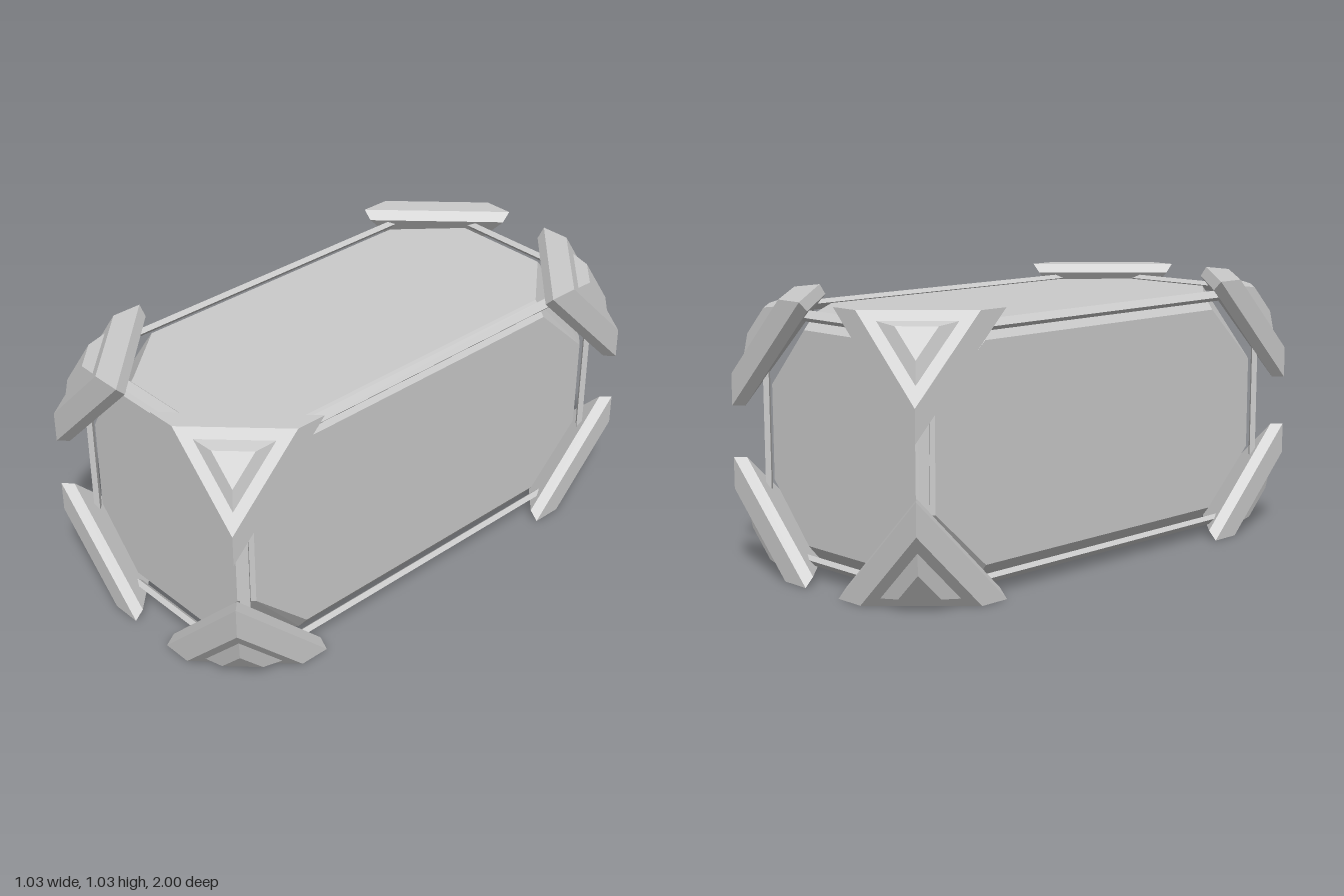
import * as THREE from 'three';
import { ConvexGeometry } from 'three/addons/geometries/ConvexGeometry.js';

const OUTER = [0.515, 0.5175, 1];      // half size at the corner guards
const FRAME = [0.46, 0.4725, 0.915];   // half size at the edge rails
const MID_Y = 0.5175;
const SIGNS = [-1, 1];

export function createModel() {
  const model = new THREE.Group();
  const material = new THREE.MeshStandardMaterial({ color: 0xcccccc, flatShading: true });

  function addHull(name, points, parent) {
    const mesh = new THREE.Mesh(
      new ConvexGeometry(points.map((p) => new THREE.Vector3(...p))), material);
    mesh.name = name;
    parent.add(mesh);
  }

  const body = new THREE.Group();
  body.position.y = MID_Y;
  model.add(body);

  // Core: six eight-sided panels joined by chamfered edges and cut corners
  const plane = FRAME.map((v) => v - 0.015);
  const edge = [0.4, 0.4, 0.85];
  const cut = [0.2, 0.18, 0.615];
  const corePoints = [];
  for (let a = 0; a < 3; a++) {
    const b = (a + 1) % 3, c = (a + 2) % 3;
    for (const sa of SIGNS) for (const sb of SIGNS) for (const sc of SIGNS) {
      for (const [vb, vc] of [[edge[b], cut[c]], [cut[b], edge[c]]]) {
        const p = [0, 0, 0];
        p[a] = sa * plane[a];
        p[b] = sb * vb;
        p[c] = sc * vc;
        corePoints.push(p);
      }
    }
  }
  addHull('core', corePoints, body);

  // Edge rails: slim bars turned 45 degrees, floating off the chamfers
  const railSection = [[0, 0.025], [0.025, 0], [0.04, 0.015], [0.015, 0.04]];
  const rails = new THREE.Group();
  rails.name = 'edgeRails';
  body.add(rails);
  for (let a = 0; a < 3; a++) {
    const b = (a + 1) % 3, c = (a + 2) % 3;
    const half = OUTER[a] - 0.28;
    for (const sb of SIGNS) for (const sc of SIGNS) {
      const points = [];
      for (const end of SIGNS) for (const [i, j] of railSection) {
        const p = [0, 0, 0];
        p[a] = end * half;
        p[b] = sb * (FRAME[b] - i);
        p[c] = sc * (FRAME[c] - j);
        points.push(p);
      }
      addHull('edgeRail', points, rails);
    }
  }

  // Triangle across a corner: one long inset and two short ones per point
  const triangle = (long, short) => [
    [long, short, short], [short, long, short], [short, short, long]];
  const plate = [...triangle(0.3, 0), ...triangle(0.42, 0), ...triangle(0.42, 0.035)];
  const boss = [...triangle(0.232, 0.034), ...triangle(0.15, 0.045)];

  // Corner guards: bevelled triangular plate with a raised boss
  for (const sx of SIGNS) for (const sy of SIGNS) for (const sz of SIGNS) {
    const s = [sx, sy, sz];
    const place = (pts) => pts.map((p) => p.map((v, i) => s[i] * (OUTER[i] - v)));
    const guard = new THREE.Group();
    guard.name = 'cornerGuard';
    body.add(guard);
    addHull('cornerPlate', place(plate), guard);
    addHull('cornerBoss', place(boss), guard);
  }
  return model;
}
